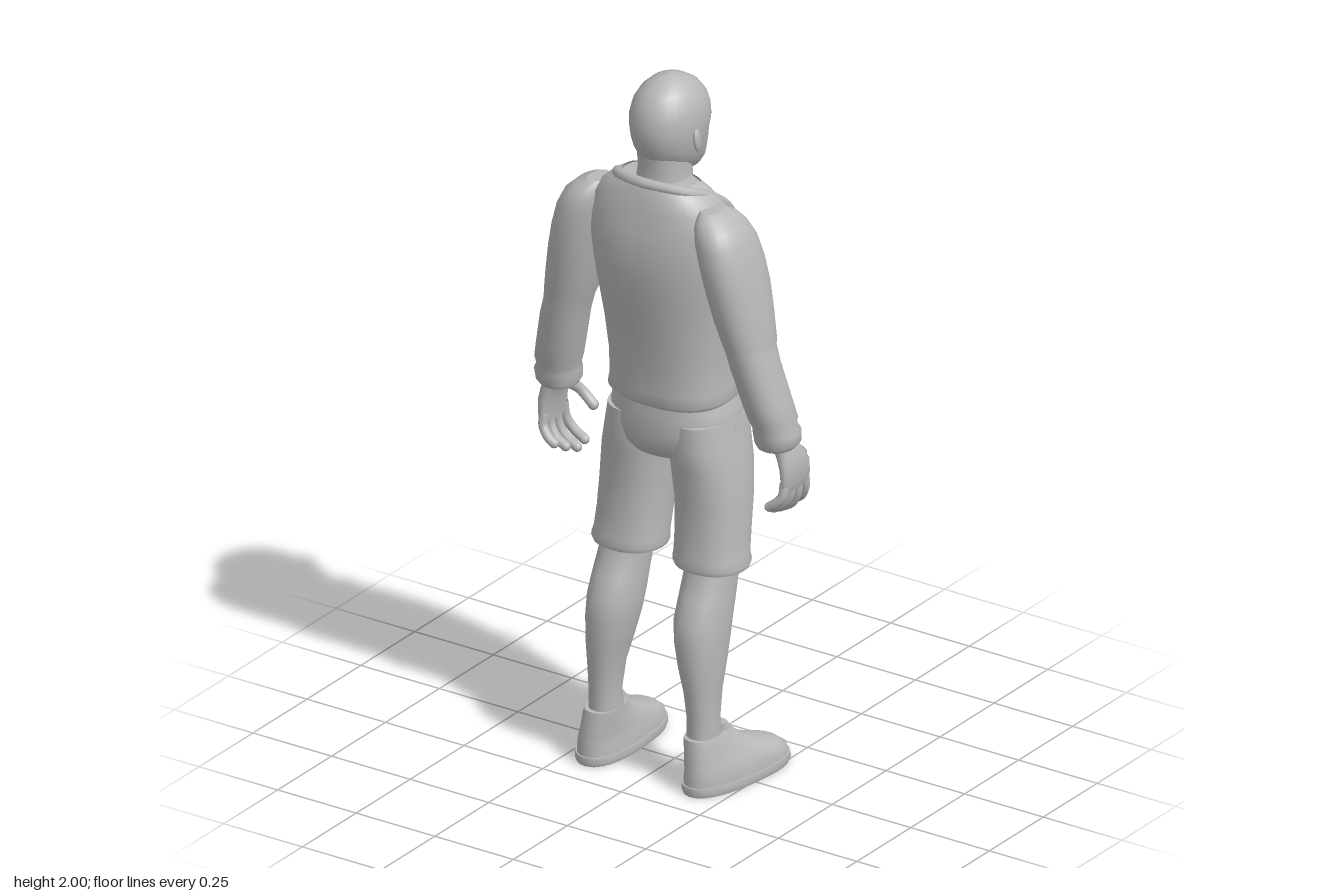
import * as THREE from 'three';

const grey = new THREE.MeshStandardMaterial({ color: 0xb8b8b8, side: THREE.DoubleSide });
grey.name = 'plain grey';

// Loft of horizontal oval sections, rows from bottom to top:
// [y, centreX, halfWidth, zFront, zBack, zWidest]. gap leaves the front open.
function loft(rows, { seg = 28, power = 0.9, gap = 0 } = {}) {
  const pos = [], idx = [];
  const from = -Math.PI / 2 + gap, span = Math.PI * 2 - gap * 2;
  const addRing = ([y, cx, rx, zf, zb, zm = (zf + zb) / 2]) => {
    const start = pos.length / 3;
    for (let j = 0; j < seg; j++) {
      const t = from + span * j / (gap ? seg - 1 : seg);
      const c = Math.cos(t), s = Math.sin(t);
      pos.push(cx + rx * Math.sign(c) * Math.abs(c) ** power, y,
        zm + (s > 0 ? zb - zm : zm - zf) * Math.sign(s) * Math.abs(s) ** power);
    }
    return start;
  };
  const starts = rows.map(addRing);
  for (let i = 0; i < rows.length - 1; i++) {
    for (let j = 0; j < (gap ? seg - 1 : seg); j++) {
      const k = (j + 1) % seg, a = starts[i], b = starts[i + 1];
      idx.push(a + j, b + j, a + k, a + k, b + j, b + k);
    }
  }
  // flat end caps
  if (!gap) [rows[0], rows[rows.length - 1]].forEach((row, end) => {
    const a = addRing(row), centre = pos.length / 3;
    pos.push(row[1], row[0], (row[3] + row[4]) / 2);
    for (let j = 0; j < seg; j++) {
      const k = (j + 1) % seg;
      if (end) idx.push(centre, a + k, a + j); else idx.push(centre, a + j, a + k);
    }
  });
  const g = new THREE.BufferGeometry();
  g.setAttribute('position', new THREE.Float32BufferAttribute(pos, 3));
  g.setIndex(idx);
  g.computeVertexNormals();
  return g;
}

const side = (rows, s) => rows.map(([y, cx, ...r]) => [y, cx * s, ...r]);

function add(parent, name, geometry) {
  const m = new THREE.Mesh(geometry, grey);
  m.name = name;
  parent.add(m);
  return m;
}

function ball(parent, name, p, r) {
  const m = add(parent, name, new THREE.SphereGeometry(1, 16, 10));
  m.position.set(...p);
  m.scale.set(...r);
  return m;
}

function tube(parent, name, pts, r, n = 14) {
  const curve = new THREE.CatmullRomCurve3(pts.map(p => new THREE.Vector3(...p)));
  return add(parent, name, new THREE.TubeGeometry(curve, n, r, 8));
}

function addHead(g) {
  const head = new THREE.Group();
  head.name = 'head';
  g.add(head);
  add(head, 'skull', loft([
    [1.712, 0, 0.025, -0.08, 0.0], [1.725, 0, 0.045, -0.093, 0.04], [1.75, 0, 0.066, -0.096, 0.08],
    [1.78, 0, 0.08, -0.094, 0.118], [1.81, 0, 0.088, -0.094, 0.135], [1.84, 0, 0.093, -0.094, 0.144],
    [1.865, 0, 0.096, -0.102, 0.148], [1.9, 0, 0.096, -0.1, 0.147], [1.935, 0, 0.088, -0.088, 0.136],
    [1.965, 0, 0.07, -0.064, 0.115], [1.985, 0, 0.048, -0.032, 0.085], [1.996, 0, 0.025, -0.002, 0.055],
    [2.0, 0, 0.005, 0.018, 0.03]], { power: 0.95 }));
  add(head, 'neck', loft([
    [1.64, 0, 0.09, -0.04, 0.13], [1.7, 0, 0.074, -0.025, 0.125],
    [1.75, 0, 0.068, -0.025, 0.118], [1.81, 0, 0.07, -0.03, 0.125]]));
  add(head, 'nose', loft([
    [1.788, 0, 0.012, -0.105, -0.08], [1.798, 0, 0.02, -0.122, -0.08], [1.812, 0, 0.016, -0.128, -0.08],
    [1.835, 0, 0.011, -0.113, -0.08], [1.86, 0, 0.01, -0.1, -0.08]], { seg: 14 }));
  ball(head, 'upperLip', [0, 1.769, -0.092], [0.028, 0.006, 0.01]);
  ball(head, 'lowerLip', [0, 1.757, -0.091], [0.024, 0.007, 0.01]);
  ball(head, 'chin', [0, 1.73, -0.08], [0.026, 0.018, 0.016]);
  for (const s of [-1, 1]) {
    ball(head, 'eye', [0.037 * s, 1.843, -0.081], [0.017, 0.009, 0.011]);
    ball(head, 'brow', [0.038 * s, 1.862, -0.085], [0.026, 0.007, 0.012]).rotation.y = -0.35 * s;
    const ear = ball(head, 'ear', [0.098 * s, 1.838, 0.04], [0.009, 0.034, 0.02]);
    ear.rotation.set(0.2, 0.3 * s, 0);
  }
}

function addTorso(g) {
  const rows = [
    [1.075, 0, 0.163, -0.152, 0.13, 0], [1.09, 0, 0.177, -0.162, 0.145, 0], [1.12, 0, 0.172, -0.162, 0.142, 0],
    [1.2, 0, 0.172, -0.165, 0.15, 0], [1.3, 0, 0.178, -0.164, 0.165, 0.01], [1.4, 0, 0.19, -0.157, 0.182, 0.02],
    [1.47, 0, 0.198, -0.142, 0.192, 0.03], [1.54, 0, 0.203, -0.112, 0.196, 0.04], [1.6, 0, 0.205, -0.075, 0.188, 0.05],
    [1.66, 0, 0.195, -0.022, 0.175, 0.06], [1.7, 0, 0.15, -0.005, 0.165, 0.06], [1.722, 0, 0.115, 0.01, 0.155, 0.06]];
  add(g, 'jacketBody', loft(rows, { seg: 40, power: 0.82, gap: 0.42 }));
  add(g, 'shirt', loft(rows.map(([y, cx, rx, zf, zb, zm]) =>
    [y, cx, rx - 0.008, zf + 0.006, zb - 0.008, zm]), { seg: 40, power: 0.82 }));
  // collar running round the neck and down both lapels
  const half = [[0.1, 1.718, 0.115], [0.14, 1.69, 0.05], [0.148, 1.635, -0.025],
    [0.13, 1.56, -0.08], [0.105, 1.47, -0.127]];
  const mirrored = half.map(([x, y, z]) => [-x, y, z]).reverse();
  tube(g, 'collar', [...mirrored, [0, 1.728, 0.146], ...half], 0.015, 48);
  for (const s of [-1, 1]) {
    tube(g, 'jacketEdge', [[0.105 * s, 1.47, -0.127], [0.09 * s, 1.35, -0.147],
      [0.08 * s, 1.2, -0.152], [0.08 * s, 1.08, -0.148]], 0.006);
  }
}

function addArm(g, s) {
  const arm = new THREE.Group();
  arm.name = s > 0 ? 'leftArm' : 'rightArm';
  g.add(arm);
  add(arm, 'sleeve', loft(side([
    [1.015, 0.346, 0.048, -0.025, 0.085], [1.03, 0.348, 0.058, -0.034, 0.094], [1.06, 0.348, 0.06, -0.032, 0.1],
    [1.075, 0.343, 0.055, -0.026, 0.1], [1.1, 0.34, 0.061, -0.026, 0.11], [1.15, 0.327, 0.061, -0.02, 0.122],
    [1.25, 0.302, 0.061, -0.006, 0.14], [1.3, 0.288, 0.06, -0.008, 0.146], [1.32, 0.283, 0.064, -0.014, 0.15],
    [1.39, 0.267, 0.068, -0.024, 0.165], [1.47, 0.25, 0.071, -0.03, 0.177], [1.54, 0.235, 0.07, -0.026, 0.184],
    [1.6, 0.22, 0.068, -0.014, 0.183], [1.64, 0.207, 0.06, 0.005, 0.173], [1.665, 0.195, 0.045, 0.025, 0.155],
    [1.68, 0.18, 0.025, 0.05, 0.13]], s)));
  add(arm, 'palm', loft(side([
    [0.895, 0.383, 0.012, -0.05, 0.06], [0.92, 0.386, 0.018, -0.056, 0.066], [0.96, 0.384, 0.023, -0.054, 0.066],
    [0.99, 0.375, 0.027, -0.038, 0.062], [1.03, 0.36, 0.03, -0.015, 0.06]], s), { seg: 18 }));
  // four curled fingers and a thumb
  [[0.05, 0.062, 0.035], [0.02, 0.025, 0.015], [-0.01, -0.015, 0], [-0.04, -0.055, 0.006]].forEach(([z0, z1, up], i) => {
    const tip = [(0.322 + up * 0.6) * s, 0.812 + up, z1];
    tube(arm, 'finger' + (i + 1), [[0.383 * s, 0.92, z0], [0.38 * s, 0.87 + up * 0.4, (z0 + z1) / 2],
      [(0.36) * s, 0.835 + up * 0.7, z1], tip], 0.0135);
    ball(arm, 'fingertip', tip, [0.0135, 0.0135, 0.0135]);
  });
  const thumbTip = [0.315 * s, 0.912, -0.08];
  tube(arm, 'thumb', [[0.372 * s, 0.985, -0.03], [0.355 * s, 0.955, -0.07], [0.335 * s, 0.93, -0.08], thumbTip], 0.015);
  ball(arm, 'thumbTip', thumbTip, [0.015, 0.015, 0.015]);
}

function addLeg(g, s) {
  add(g, 'shortsLeg', loft(side([
    [0.612, 0.129, 0.1, -0.075, 0.107], [0.625, 0.129, 0.105, -0.078, 0.111], [0.645, 0.127, 0.101, -0.078, 0.107],
    [0.7, 0.124, 0.1, -0.09, 0.1], [0.8, 0.119, 0.1, -0.112, 0.096], [0.9, 0.109, 0.099, -0.132, 0.108],
    [0.96, 0.1, 0.094, -0.142, 0.118], [1.03, 0.095, 0.088, -0.145, 0.115]], s)));
  add(g, 'lowerLeg', loft(side([
    [0.12, 0.156, 0.042, 0.035, 0.145], [0.2, 0.156, 0.039, 0.045, 0.145], [0.28, 0.153, 0.045, 0.034, 0.153],
    [0.35, 0.147, 0.056, 0.013, 0.162], [0.42, 0.141, 0.065, -0.006, 0.165], [0.48, 0.138, 0.068, -0.022, 0.16],
    [0.54, 0.137, 0.067, -0.038, 0.135], [0.6, 0.135, 0.067, -0.05, 0.105], [0.68, 0.13, 0.07, -0.05, 0.09]], s)));
  // foot turned slightly outwards
  const foot = new THREE.Group();
  foot.name = s > 0 ? 'leftShoe' : 'rightShoe';
  foot.position.x = 0.182 * s;
  foot.rotation.y = -0.1 * s;
  g.add(foot);
  add(foot, 'sole', loft([[0, 0, 0.078, -0.196, 0.175, -0.06], [0.012, 0, 0.082, -0.2, 0.18, -0.06],
    [0.026, 0, 0.08, -0.198, 0.178, -0.06]], { power: 0.85 }));
  add(foot, 'shoeUpper', loft([
    [0.024, 0, 0.076, -0.193, 0.174, -0.06], [0.045, 0, 0.075, -0.187, 0.174, -0.06],
    [0.065, 0, 0.07, -0.16, 0.172, -0.04], [0.085, -0.003 * s, 0.063, -0.105, 0.17, 0],
    [0.11, -0.006 * s, 0.055, -0.045, 0.167, 0.05], [0.138, -0.01 * s, 0.05, -0.002, 0.163],
    [0.152, -0.012 * s, 0.047, 0.015, 0.16]], { power: 0.85 }));
  add(foot, 'tongue', loft([[0.12, -0.012 * s, 0.04, -0.02, 0.06], [0.172, -0.012 * s, 0.026, 0.025, 0.06]], { seg: 14 }));
}

export function createModel() {
  const g = new THREE.Group();
  g.name = 'standingMan';
  addHead(g);
  addTorso(g);
  add(g, 'shortsSeat', loft([
    [0.905, 0, 0.05, -0.06, 0.07], [0.925, 0, 0.11, -0.11, 0.11], [0.955, 0, 0.165, -0.136, 0.126],
    [1.0, 0, 0.188, -0.152, 0.131], [1.05, 0, 0.178, -0.155, 0.13], [1.1, 0, 0.16, -0.15, 0.125]]));
  for (const s of [-1, 1]) {
    addArm(g, s);
    addLeg(g, s);
  }
  // drawstring at the waist
  for (const [x, low] of [[0.03, 1.0], [0.06, 0.985], [0.08, 0.97]]) {
    tube(g, 'drawstring', [[x, 1.07, -0.148], [x, 1.045, -0.168], [x + 0.003, low, -0.166]], 0.005, 8);
  }
  return g;
}
